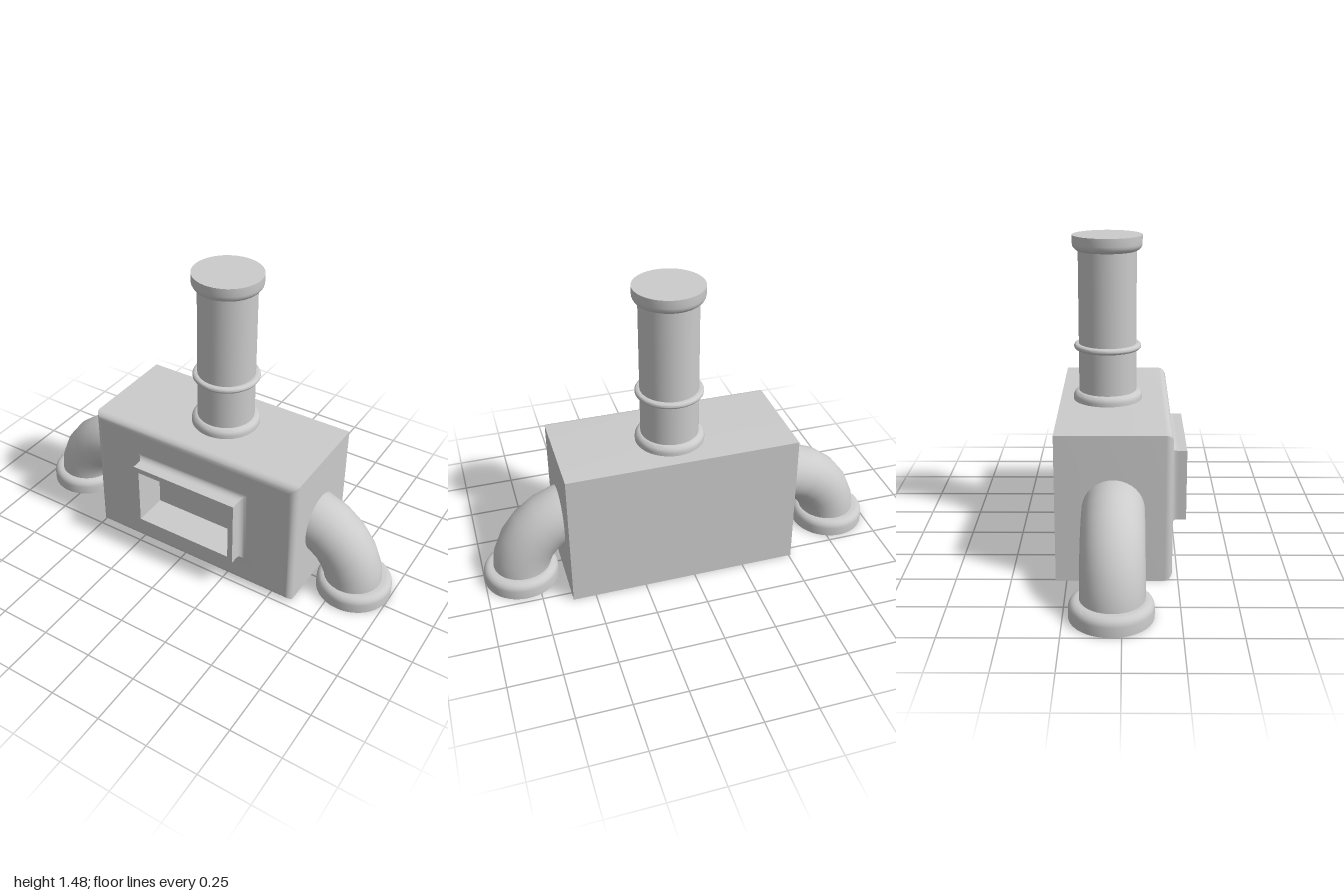
import * as THREE from 'three';
import { toCreasedNormals } from 'three/addons/utils/BufferGeometryUtils.js';

const material = new THREE.MeshStandardMaterial({ color: 0xcccccc });

function addMesh(parent, name, geometry, x = 0, y = 0, z = 0) {
  const mesh = new THREE.Mesh(geometry, material);
  mesh.name = name;
  mesh.position.set(x, y, z);
  parent.add(mesh);
  return mesh;
}

// Skin through rectangles [x0, x1, y0, y1, z], closed at both ends
function rectLoft(sections) {
  const loops = sections.map(([x0, x1, y0, y1, z]) => [[x0, y0, z], [x1, y0, z], [x1, y1, z], [x0, y1, z]]);
  const pos = [];
  const quad = (a, b, c, d) => pos.push(...a, ...b, ...c, ...a, ...c, ...d);
  const first = loops[0], last = loops[loops.length - 1];
  quad(first[3], first[2], first[1], first[0]);
  for (let i = 0; i + 1 < loops.length; i++) {
    const a = loops[i], b = loops[i + 1];
    for (let j = 0; j < 4; j++) {
      const k = (j + 1) % 4;
      quad(a[j], a[k], b[k], b[j]);
    }
  }
  quad(last[0], last[1], last[2], last[3]);
  const g = new THREE.BufferGeometry();
  g.setAttribute('position', new THREE.Float32BufferAttribute(pos, 3));
  return toCreasedNormals(g, 0.5);
}

// Turned solid from [radius, height] points, bottom to top
function lathe(points, sides = 48) {
  return toCreasedNormals(new THREE.LatheGeometry(points.map(p => new THREE.Vector2(...p)), sides), 0.6);
}

// Quarter-round points about (cx, cy)
function arc(cx, cy, r, from, to, steps = 5) {
  return Array.from({ length: steps + 1 }, (_, i) => {
    const a = THREE.MathUtils.degToRad(from + (to - from) * i / steps);
    return [cx + r * Math.cos(a), cy + r * Math.sin(a)];
  });
}

function createBody() {
  const box = (inset, z) => [-0.51 + inset, 0.61 - inset, inset, 0.69 - inset, z];
  const frame = (grow, z) => [-0.23 - grow, 0.33 + grow, 0.175 - grow, 0.52 + grow, z];
  const front = 0.225, r = 0.035, flare = 0.03;
  const sections = [box(0, -0.3), box(0, front - r - 0.005)];
  // rounded front edges
  for (const [x, y] of arc(0, 0, r, 0, 90)) sections.push(box(r - x, front - r + y));
  sections.push(box(r + 0.005, front), frame(flare + 0.005, front));
  // flare leading into the window frame
  for (const [x, y] of arc(flare, flare, flare, 270, 180)) sections.push(frame(x, front + y));
  // frame, lip and recess
  sections.push(frame(0, 0.265), frame(0, 0.3), frame(-0.027, 0.3), frame(-0.027, 0.13));
  return rectLoft(sections);
}

export function createModel() {
  const model = new THREE.Group();
  model.name = 'furnace';
  addMesh(model, 'bodyWithWindow', createBody());

  // Chimney
  const chimney = new THREE.Group();
  chimney.name = 'chimney';
  chimney.position.set(0.06, 0, -0.073);
  model.add(chimney);
  addMesh(chimney, 'chimneyPipe', new THREE.CylinderGeometry(0.138, 0.138, 0.74, 48, 1, true), 0, 1.06, 0);
  addMesh(chimney, 'chimneyBase', lathe([
    [0, 0.685], [0.165, 0.685], ...arc(0.135, 0.705, 0.03, 0, 90)]));
  addMesh(chimney, 'chimneyRing', lathe([
    [0.137, 0.938], ...arc(0.147, 0.952, 0.014, -90, 90, 8), [0.137, 0.966]]));
  addMesh(chimney, 'chimneyCap', lathe([
    [0.135, 1.406], ...arc(0.13, 1.441, 0.035, -90, 0), [0.165, 1.48], [0, 1.48]]));

  // Side elbows on round feet
  for (const side of [1, -1]) {
    const elbow = new THREE.Group();
    elbow.name = side > 0 ? 'leftElbow' : 'rightElbow';
    if (side < 0) elbow.rotation.y = Math.PI;
    elbow.position.z = -0.04;
    model.add(elbow);
    addMesh(elbow, 'elbowPipe', new THREE.TorusGeometry(0.305, 0.14, 40, 6, Math.PI / 2), 0.51, 0.04, 0);
    addMesh(elbow, 'foot', lathe([
      [0, 0], [0.182, 0], [0.182, 0.045], ...arc(0.147, 0.045, 0.035, 0, 90), [0, 0.08]]), 0.818, 0, side * -0.004);
  }
  return model;
}
